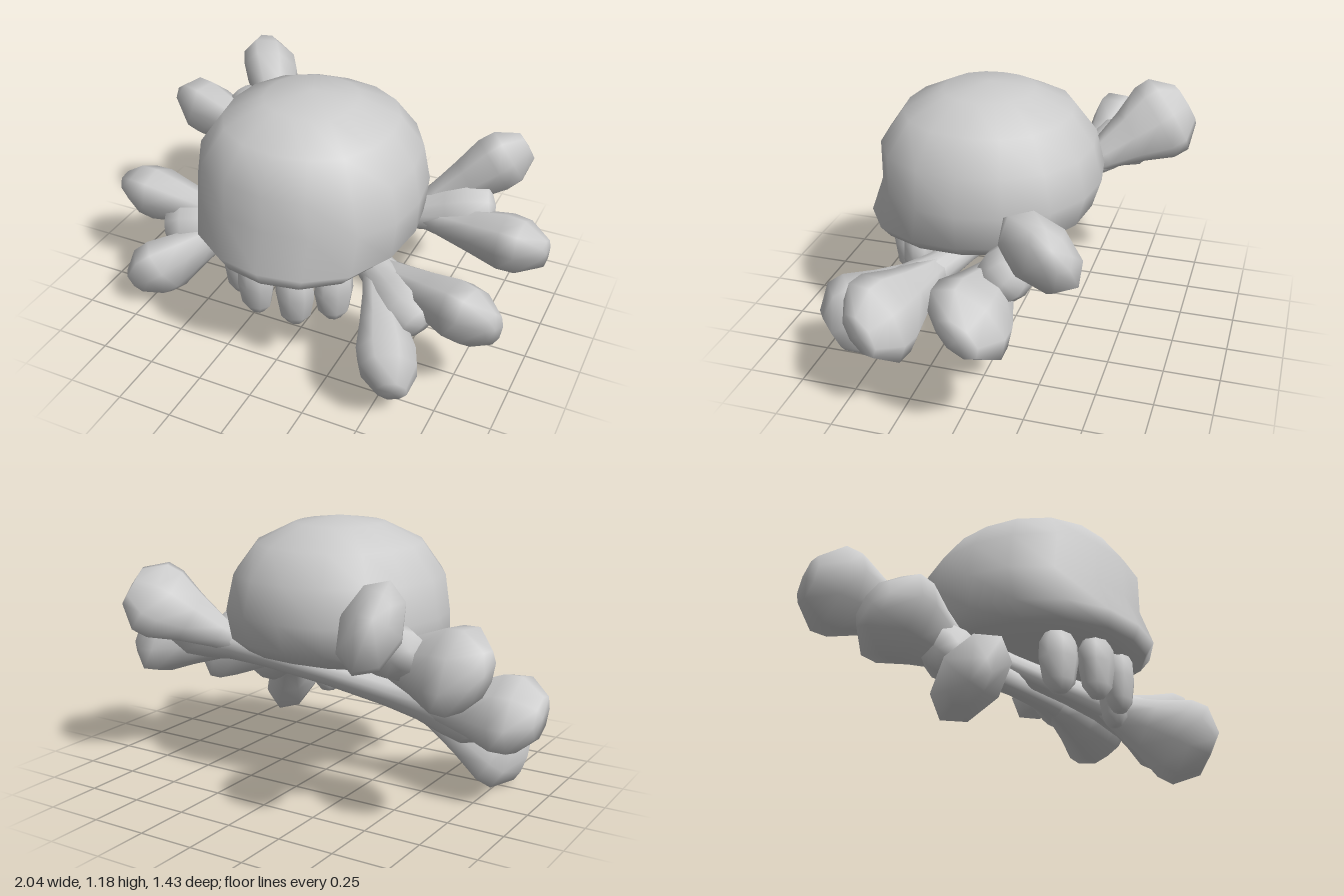
import * as THREE from 'three';
import { mergeVertices } from 'three/addons/utils/BufferGeometryUtils.js';

const material = new THREE.MeshStandardMaterial({ color: 0xcccccc });

// Weld seams so the low-poly surfaces shade smoothly
function smooth(geometry) {
  geometry.deleteAttribute('uv');
  geometry.deleteAttribute('normal');
  const welded = mergeVertices(geometry, 1e-4);
  welded.computeVertexNormals();
  return welded;
}

function addMesh(parent, name, geometry) {
  const mesh = new THREE.Mesh(smooth(geometry), material);
  mesh.name = name;
  parent.add(mesh);
  return mesh;
}

function lathe(profile, sides) {
  return new THREE.LatheGeometry(profile.map(([r, y]) => new THREE.Vector2(r, y)), sides);
}

// Domed cranium: sphere rows reshaped to [radius, y front, y back, z front, z back]
function craniumGeometry() {
  const midZ = 0.12;
  const rows = [
    [0, 1.18, 1.18, midZ, midZ],
    [0.2, 1.15, 1.15, 0.32, -0.08],
    [0.37, 1.065, 1.065, 0.49, -0.25],
    [0.47, 0.92, 0.93, 0.59, -0.35],
    [0.5, 0.75, 0.77, 0.585, -0.39],
    [0.49, 0.58, 0.64, 0.65, -0.35],
    [0.42, 0.515, 0.575, 0.62, -0.27],
    [0.3, 0.49, 0.6, 0.53, -0.14],
    [0, 0.63, 0.63, midZ, midZ],
  ];
  const sides = 16;
  const geometry = new THREE.SphereGeometry(1, sides, rows.length - 1);
  const pos = geometry.attributes.position;
  for (let i = 0; i < pos.count; i++) {
    const [r, yFront, yBack, zFront, zBack] = rows[Math.floor(i / (sides + 1))];
    const a = ((i % (sides + 1)) / sides) * Math.PI * 2;
    const s = Math.sin(a);
    const full = 1 + 0.04 * Math.sin(2 * a) ** 2; // slightly squared plan
    const y = THREE.MathUtils.lerp(yBack, yFront, (s + 1) / 2);
    const z = midZ + full * s * (s > 0 ? zFront - midZ : midZ - zBack);
    pos.setXYZ(i, -Math.cos(a) * r * full, y, z);
  }
  return geometry;
}

// Knob: a flaring cone with a blunt end, growing deeper than wide towards its tip
function knobGeometry(length) {
  const profile = [[0, 0], [0.055, 0.04], [0.07, 0.22], [0.1, 0.48], [0.128, 0.7], [0.122, 0.83], [0.062, 0.99], [0, 1]];
  const geometry = lathe(profile.map(([r, t]) => [r, t * length]), 8);
  const pos = geometry.attributes.position;
  for (let i = 0; i < pos.count; i++) {
    pos.setZ(i, pos.getZ(i) * (1 + 0.7 * pos.getY(i) / length));
  }
  return geometry;
}

// Bone along local x with two splayed knobs in the local xy plane at each end
function createBone(name, centre, axis, fork) {
  const bone = new THREE.Group();
  bone.name = name;

  // Shaft swelling into the fork at both ends
  const half = [[0.062, 0], [0.07, 0.3], [0.085, 0.46], [0.115, 0.58], [0.13, 0.68], [0.09, 0.77], [0, 0.79]];
  const profile = [...half.slice(1).reverse().map(([r, y]) => [r, -y]), ...half];
  const shaft = lathe(profile, 12);
  shaft.scale(1, 1, 0.88);
  addMesh(bone, 'boneShaft', shaft).rotation.z = -Math.PI / 2;

  // One long and one short knob per end, swapped at the far end
  const rootX = 0.42;
  for (const end of [1, -1]) {
    for (const [tipX, tipY] of [[1.0, 0.225], [0.94, -0.265]]) {
      const dx = end * (tipX - rootX);
      const dy = end * tipY;
      const mesh = addMesh(bone, 'boneKnob', knobGeometry(Math.hypot(dx, dy)));
      mesh.rotation.z = Math.atan2(-dx, dy);
      mesh.position.x = end * rootX;
    }
  }

  const u = new THREE.Vector3(...axis).normalize();
  const w = new THREE.Vector3().crossVectors(u, new THREE.Vector3(...fork)).normalize();
  const v = new THREE.Vector3().crossVectors(w, u);
  bone.quaternion.setFromRotationMatrix(new THREE.Matrix4().makeBasis(u, v, w));
  bone.position.set(...centre);
  return bone;
}

export function createModel() {
  const model = new THREE.Group();
  model.name = 'skullAndCrossedBones';

  addMesh(model, 'cranium', craniumGeometry());

  // Two rounded teeth on each side of the front edge
  const tooth = [[0, 0.25], [0.035, 0.256], [0.07, 0.3], [0.087, 0.4], [0.083, 0.47], [0.05, 0.53], [0, 0.54]];
  for (const side of [1, -1]) {
    for (const [x, z, turn] of [[0.093, 0.49, 0.15], [0.23, 0.39, 0.7]]) {
      const geometry = lathe(tooth, 8);
      geometry.scale(1, 1, 0.8);
      const mesh = addMesh(model, 'tooth', geometry);
      mesh.position.set(side * x, 0, z);
      mesh.rotation.y = side * turn;
    }
  }

  // Crossed bones beneath the cranium
  model.add(createBone('upperBone', [0, 0.555, 0], [0.73, -0.225, 0.465], [0.22, 0.17, -0.21]));
  model.add(createBone('lowerBone', [0, 0.473, 0], [0.85, 0.19, -0.19], [0.13, -0.225, 0.215]));
  return model;
}
